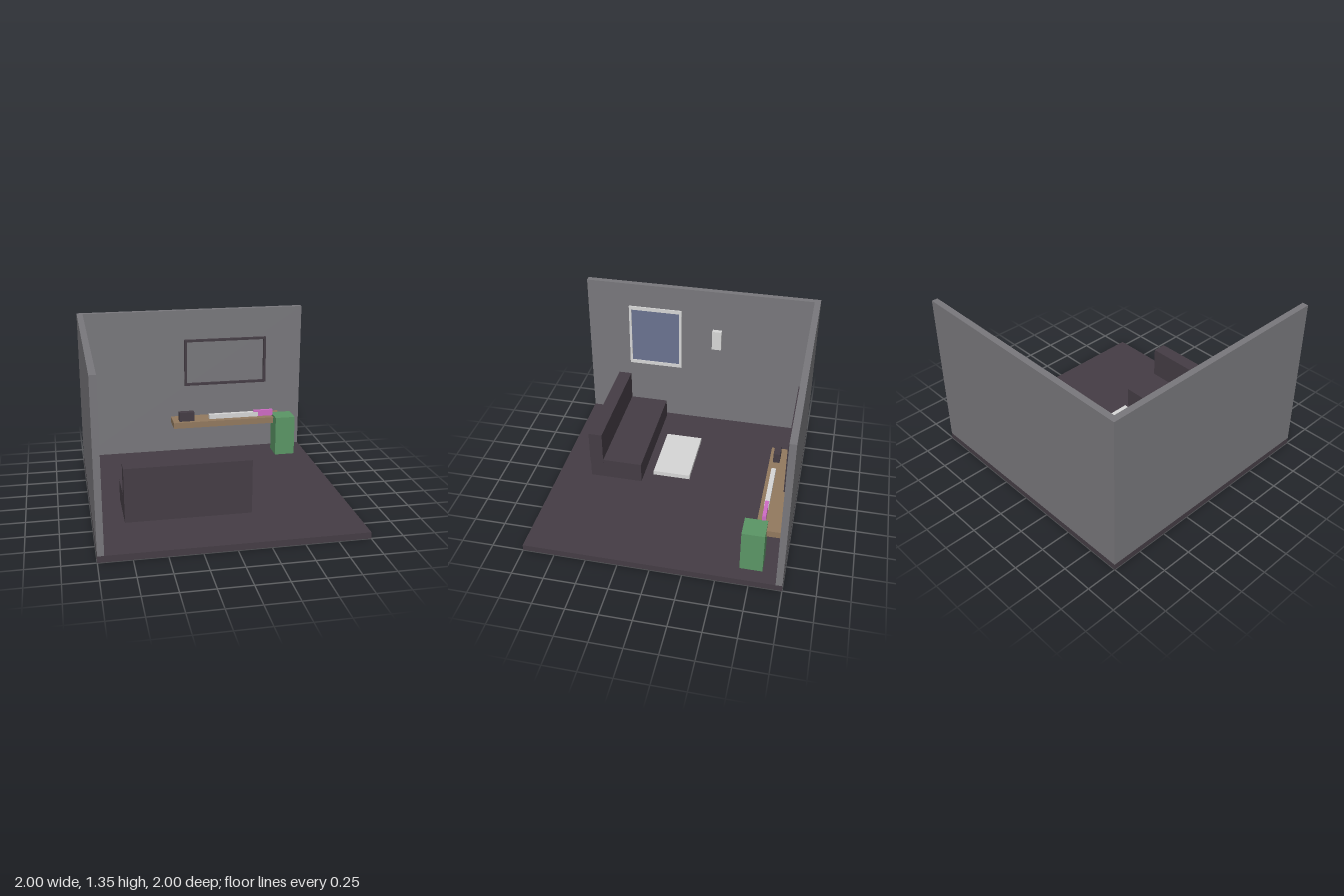
import * as THREE from 'three';

const mat = (name, color) => {
  const m = new THREE.MeshStandardMaterial({ color });
  m.name = name;
  return m;
};

export function createModel() {
  const room = new THREE.Group();
  room.name = 'livingRoom';

  const wall = mat('wallGrey', 0x79787c);
  const dark = mat('darkPlum', 0x453d45);
  const white = mat('offWhite', 0xd8d8d8);
  const wood = mat('wood', 0x937a5f);
  const green = mat('green', 0x5b9766);
  const pink = mat('pink', 0xd06cc6);
  const glass = mat('windowBlue', 0x6b7391);

  // box given by its limits on each axis
  const box = (name, m, [x0, x1], [y0, y1], [z0, z1], parent = room) => {
    const mesh = new THREE.Mesh(new THREE.BoxGeometry(x1 - x0, y1 - y0, z1 - z0), m);
    mesh.position.set((x0 + x1) / 2, (y0 + y1) / 2, (z0 + z1) / 2);
    mesh.name = name;
    parent.add(mesh);
    return mesh;
  };

  // rectangular frame with an opening, centred in x and y, back on z = 0
  const frame = (name, m, w, h, bx, by, depth, parent) => {
    const s = new THREE.Shape();
    s.moveTo(-w / 2, -h / 2).lineTo(w / 2, -h / 2).lineTo(w / 2, h / 2).lineTo(-w / 2, h / 2).closePath();
    const a = w / 2 - bx, b = h / 2 - by, hole = new THREE.Path();
    hole.moveTo(-a, -b).lineTo(-a, b).lineTo(a, b).lineTo(a, -b).closePath();
    s.holes.push(hole);
    const mesh = new THREE.Mesh(new THREE.ExtrudeGeometry(s, { depth, bevelEnabled: false }), m);
    mesh.name = name;
    parent.add(mesh);
    return mesh;
  };

  // shell
  box('floor', dark, [-1, 1], [0, 0.05], [-1, 1]);
  box('backWall', wall, [-1, 1], [0.05, 1.35], [-1, -0.95]);
  box('sideWall', wall, [-1, -0.95], [0.05, 1.35], [-0.95, 1]);

  // sofa
  const sofa = new THREE.Group();
  sofa.name = 'sofa';
  room.add(sofa);
  box('sofaSeat', dark, [-0.775, 0.17], [0.14, 0.31], [0.265, 0.69], sofa);
  box('sofaBack', dark, [-0.776, 0.171], [0.285, 0.56], [0.585, 0.694], sofa);

  // coffee table top
  box('tableTop', white, [-0.41, 0.11], [0.18, 0.217], [-0.125, 0.175]);

  // wall shelf and the things on it
  box('shelf', wood, [-0.2, 0.795], [0.325, 0.378], [-0.95, -0.755]);
  box('speaker', dark, [-0.145, -0.01], [0.378, 0.46], [-0.838, -0.785]);
  box('whiteBar', white, [0.125, 0.575], [0.386, 0.427], [-0.823, -0.787]);
  box('pinkBar', pink, [0.535, 0.712], [0.386, 0.44], [-0.819, -0.791]);

  // cabinet in the corner
  box('cabinet', green, [0.71, 0.885], [0.05, 0.4], [-0.838, -0.665]);

  // picture frame on the back wall
  frame('pictureFrame', dark, 0.745, 0.42, 0.022, 0.02, 0.024, room).position.set(0.3, 0.877, -0.95);

  // window on the side wall
  const win = new THREE.Group();
  win.name = 'window';
  win.position.set(-0.95, 0.855, 0.4);
  win.rotation.y = Math.PI / 2;
  room.add(win);
  frame('windowFrame', white, 0.468, 0.57, 0.021, 0.032, 0.011, win);
  box('windowPane', glass, [-0.213, 0.213], [-0.253, 0.253], [0, 0.004], win);

  // wall lamp
  box('wallLamp', white, [-0.95, -0.91], [0.815, 0.99], [-0.19, -0.11]);

  return room;
}
